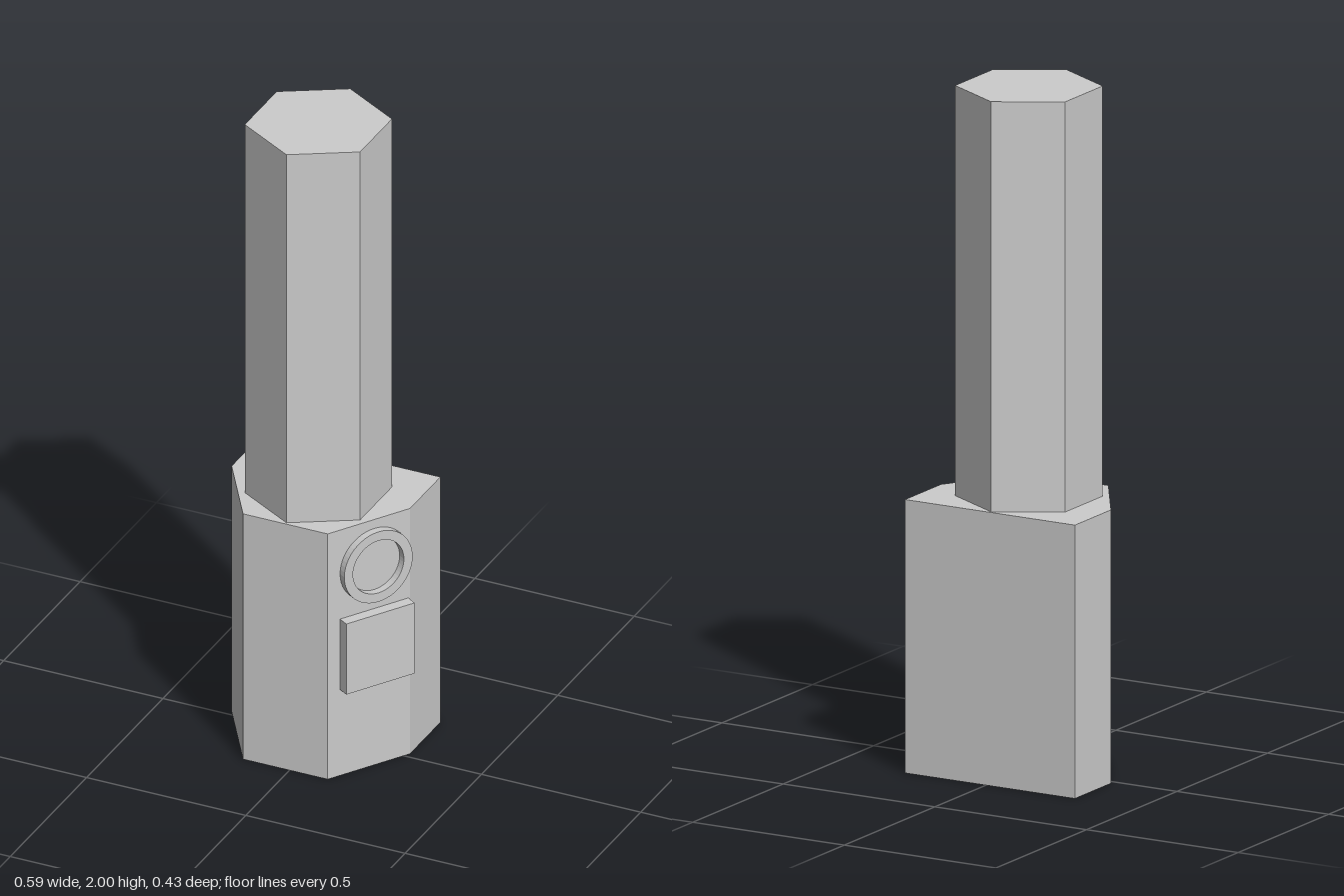
import * as THREE from 'three';

const material = new THREE.MeshStandardMaterial({ color: 0xcccccc, flatShading: true });

function addMesh(parent, name, geometry, x, y, z) {
  const mesh = new THREE.Mesh(geometry, material);
  mesh.name = name;
  mesh.position.set(x, y, z);
  parent.add(mesh);
  return mesh;
}

const extrude = (shape, depth) =>
  new THREE.ExtrudeGeometry(shape, { depth, bevelEnabled: false, curveSegments: 24 });

export function createModel() {
  const model = new THREE.Group();
  model.name = 'hexagonalTower';

  // Six-sided base with two chamfered front corners (plan outline, y = -z)
  const plan = [[-0.293, -0.214], [-0.293, 0.018], [-0.146, -0.214], [0.12, -0.214], [0.267, 0.018], [0.267, 0.217], [-0.293, 0.217]];
  const outline = new THREE.Shape(plan.slice(1).map(([x, y]) => new THREE.Vector2(x, y)));
  addMesh(model, 'base', extrude(outline, 0.8).rotateX(-Math.PI / 2), 0, 0, 0);

  // Hexagonal column, points toward front and back
  addMesh(model, 'column', new THREE.CylinderGeometry(0.209, 0.209, 1.2, 6), -0.013, 1.4, -0.002);

  // Fittings on the left chamfered face; local +z points out of that face
  const fittings = new THREE.Group();
  fittings.name = 'chamferFittings';
  fittings.position.set(0.203, 0, 0.083);
  fittings.rotation.y = Math.atan2(0.232, 0.147);
  model.add(fittings);

  // Rectangular plate
  addMesh(fittings, 'plate', new THREE.BoxGeometry(0.228, 0.23, 0.034), 0, 0.395, 0.0165);

  // Flat ring with an open centre
  const ring = new THREE.Shape().absarc(0, 0, 0.114, 0, Math.PI * 2, false);
  ring.holes.push(new THREE.Path().absarc(0, 0, 0.085, 0, Math.PI * 2, true));
  addMesh(fittings, 'ring', extrude(ring, 0.024), 0, 0.657, -0.001);

  return model;
}
